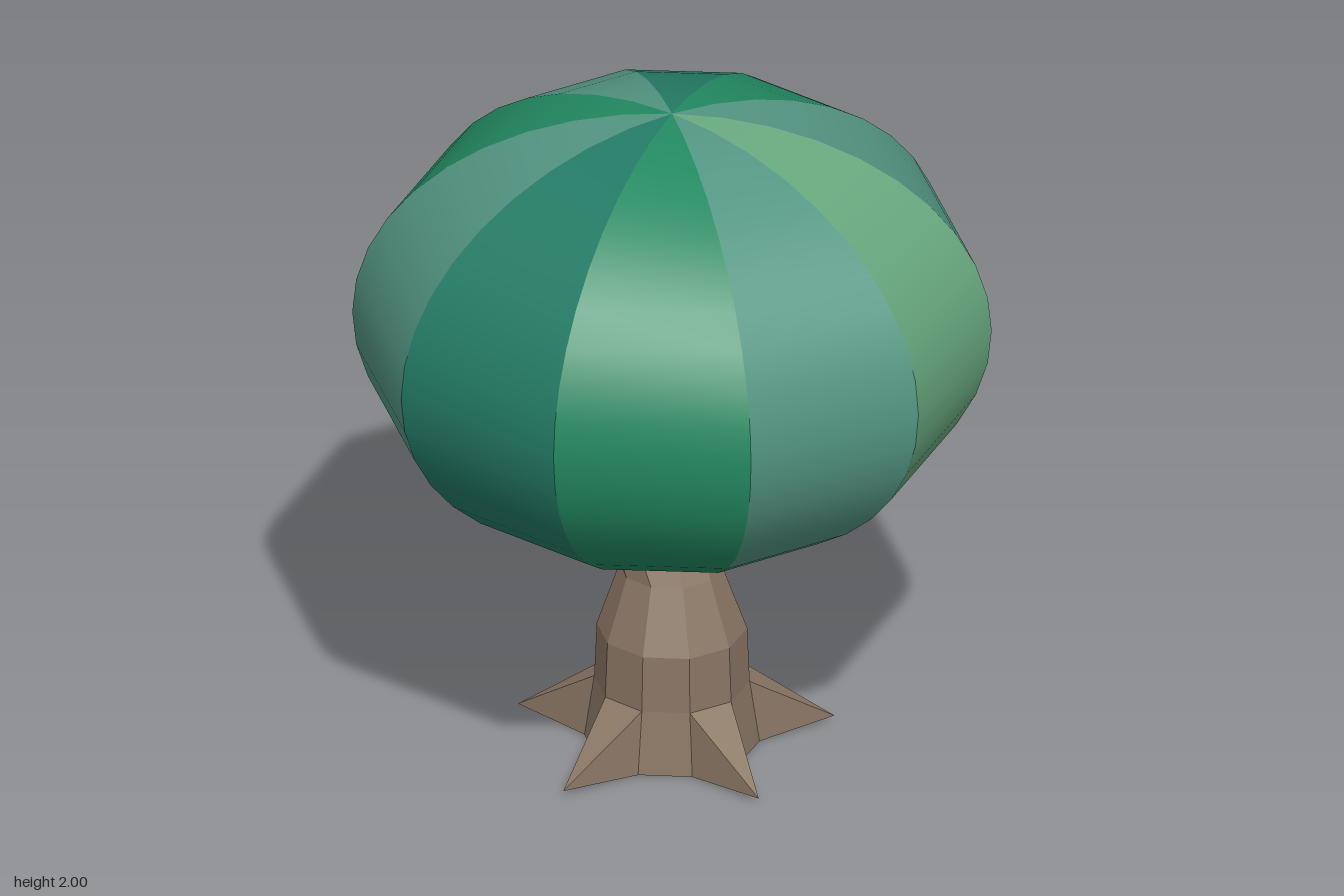
import * as THREE from 'three';

const rad = THREE.MathUtils.degToRad;
const material = (color, flatShading = false) =>
  new THREE.MeshStandardMaterial({ color, flatShading, roughness: 1 });

// Trunk: ten-sided bent column with five pointed roots
function trunkGeometry() {
  const SIDES = 10, START = 1;
  // [y, radius, z shift], bottom to top
  const rings = [
    [0, 0.25, 0], [0.19, 0.222, 0], [0.36, 0.215, 0],
    [0.55, 0.148, -0.005], [0.69, 0.165, -0.085], [0.8, 0.165, -0.14],
  ];
  const polar = (deg, r, y, dz = 0) =>
    [r * Math.cos(rad(deg)), y, r * Math.sin(rad(deg)) + dz];
  const pt = (k, j) => polar(START + 36 * k, rings[j][1], rings[j][0], rings[j][2]);
  const pos = [];
  const tri = (a, b, c) => pos.push(...a, ...b, ...c);
  const quad = (a, b, c, d) => { tri(a, b, c); tri(a, c, d); };
  const base = [0, 0, 0], last = rings.length - 1;

  for (let k = 0; k < SIDES; k++) {
    for (let j = 1; j < last; j++) quad(pt(k, j), pt(k, j + 1), pt(k + 1, j + 1), pt(k + 1, j));
    tri([0, rings[last][0], rings[last][2]], pt(k + 1, last), pt(k, last));
    tri(base, pt(k, 0), pt(k + 1, 0));
    if (k % 2) {
      // plain side between two roots
      quad(pt(k, 0), pt(k, 1), pt(k + 1, 1), pt(k + 1, 0));
    } else {
      // root: sloping top, two flanks and an underside
      const tip = polar(START + 36 * k + 18, 0.475, 0.015);
      tri(tip, pt(k, 1), pt(k + 1, 1));
      tri(tip, pt(k, 0), pt(k, 1));
      tri(tip, pt(k + 1, 1), pt(k + 1, 0));
      tri(tip, pt(k + 1, 0), pt(k, 0));
    }
  }
  const geometry = new THREE.BufferGeometry();
  geometry.setAttribute('position', new THREE.Float32BufferAttribute(pos, 3));
  geometry.computeVertexNormals();
  return geometry;
}

// One canopy gore between two latitudes: flat across, smooth up and down
function goreGeometry(index, from, to) {
  const steps = Math.round((to - from) / 9), points = [];
  for (let s = 0; s <= steps; s++) {
    const lat = rad(from + ((to - from) * s) / steps);
    points.push(new THREE.Vector2(Math.max(0, 0.912 * Math.cos(lat)), 1.335 + 0.665 * Math.sin(lat)));
  }
  const geometry = new THREE.LatheGeometry(points, 1, rad(90 - 36 * (index + 1)), rad(36));
  geometry.computeVertexNormals();
  return geometry;
}

export function createModel() {
  const tree = new THREE.Group();
  tree.name = 'tree';

  const trunk = new THREE.Mesh(trunkGeometry(), material(0x8a7664, true));
  trunk.name = 'trunk';
  tree.add(trunk);

  const canopy = new THREE.Group();
  canopy.name = 'canopy';
  const grey = material(0x549683), light = material(0x69aa80);
  const green = material(0x238a62), teal = material(0x247c66);
  // gores counted from the left side (+x) round through the front
  const order = [grey, light, grey, green, teal, grey, green, grey, teal, green];
  order.forEach((mat, i) => {
    const gore = new THREE.Mesh(goreGeometry(i, -63, 90), mat);
    gore.name = `canopyGore${i + 1}`;
    const cap = new THREE.Mesh(goreGeometry(i, -90, -63), green);
    cap.name = `canopyUnderside${i + 1}`;
    canopy.add(gore, cap);
  });
  tree.add(canopy);
  return tree;
}
